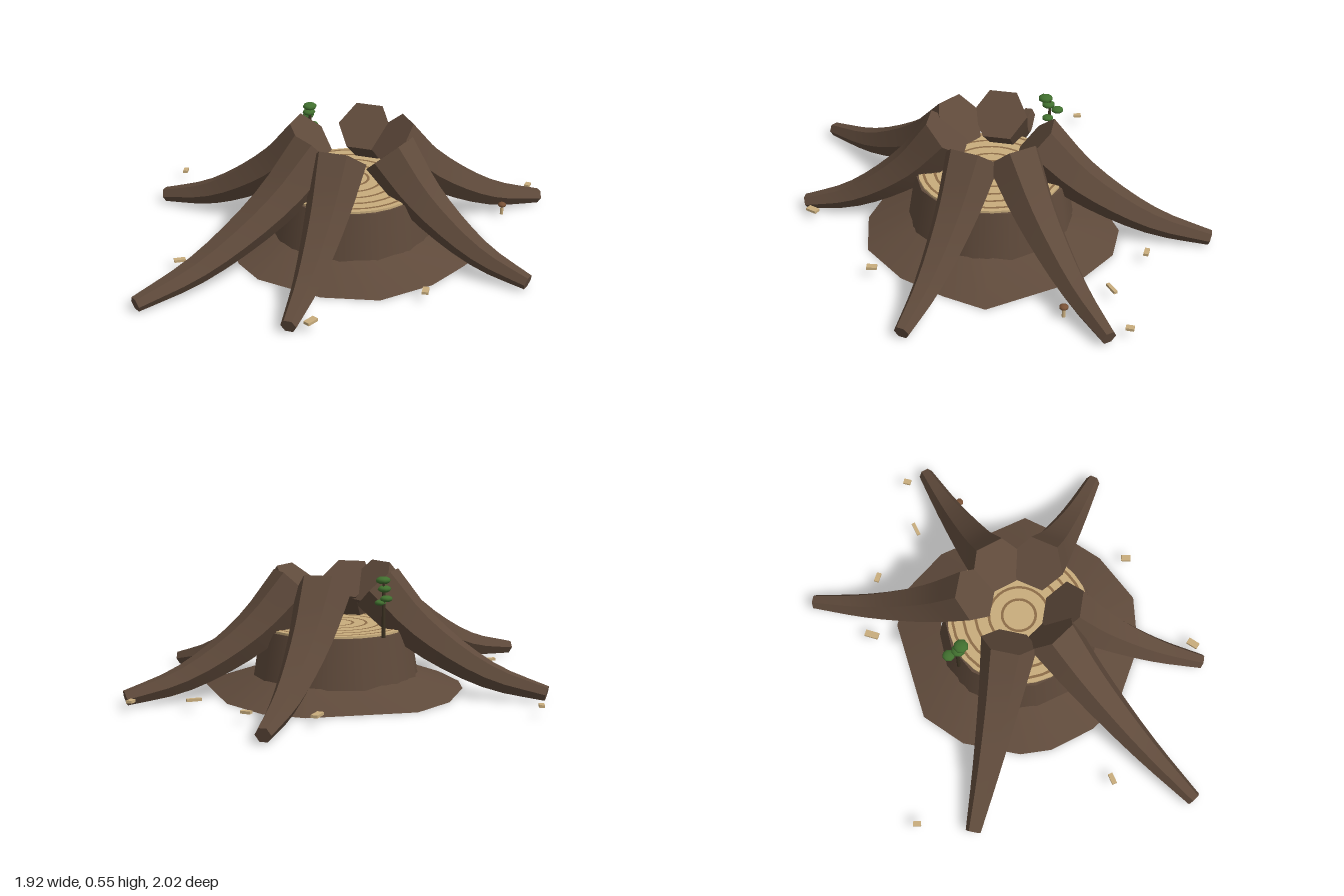
import * as THREE from 'three';
import { toCreasedNormals } from 'three/addons/utils/BufferGeometryUtils.js';

const CX = 0.065, CZ = -0.05; // stump axis

function material(name, color) {
  const m = new THREE.MeshStandardMaterial({ color });
  m.name = name;
  return m;
}

// Hexagonal tapered root, leaving the stump top at 45 degrees and levelling out at its tip
function rootGeometry(angle, length) {
  const ca = Math.cos(angle), sa = Math.sin(angle);
  const r0 = 0.195, span = length - r0;
  const at = (f, y) => new THREE.Vector3((r0 + span * f) * ca, y, (r0 + span * f) * sa);
  const curve = new THREE.CatmullRomCurve3([
    at(0, 0.465), at(0.22, 0.3), at(0.47, 0.172), at(0.7, 0.09), at(1, 0.036),
  ]);
  const side = new THREE.Vector3(sa, 0, -ca);
  const steps = 10, sides = 6, pos = [], index = [];
  for (let i = 0; i <= steps; i++) {
    const t = i / steps;
    const c = curve.getPointAt(t), d = curve.getTangentAt(t);
    const up = new THREE.Vector3().crossVectors(d, side);
    const r = THREE.MathUtils.lerp(0.125, 0.034, t);
    for (let k = 0; k < sides; k++) {
      const a = k / sides * Math.PI * 2;
      const p = c.clone().addScaledVector(side, r * Math.cos(a)).addScaledVector(up, r * Math.sin(a));
      pos.push(p.x, p.y, p.z);
    }
  }
  for (let i = 0; i < steps; i++) {
    for (let k = 0; k < sides; k++) {
      const a = i * sides + k, b = i * sides + (k + 1) % sides;
      index.push(a, b, b + sides, a, b + sides, a + sides);
    }
  }
  const end = steps * sides;
  for (let k = 1; k < sides - 1; k++) {
    index.push(0, k + 1, k, end, end + k, end + k + 1);
  }
  const g = new THREE.BufferGeometry();
  g.setAttribute('position', new THREE.Float32BufferAttribute(pos, 3));
  g.setIndex(index);
  return toCreasedNormals(g, 0.7);
}

// Low irregular skirt: outline on the ground rising to a circle round the trunk
function skirtGeometry(outline) {
  const n = outline.length, pos = [], index = [];
  for (const [x, z] of outline) {
    const a = Math.atan2(z - CZ, x - CX);
    pos.push(x - CX, 0, z - CZ, 0.37 * Math.cos(a), 0.072, 0.37 * Math.sin(a));
  }
  pos.push(0, 0, 0);
  for (let i = 0; i < n; i++) {
    const a = 2 * i, b = 2 * ((i + 1) % n);
    index.push(a, a + 1, b + 1, a, b + 1, b, 2 * n, a, b);
  }
  const g = new THREE.BufferGeometry();
  g.setAttribute('position', new THREE.Float32BufferAttribute(pos, 3));
  g.setIndex(index);
  return toCreasedNormals(g, 0.6);
}

export function createModel() {
  const bark = material('bark', 0x5f4a3b);
  const wood = material('cut wood', 0xc8ac7c);
  const ringWood = material('growth ring', 0x8c6c48);
  const leaf = material('leaf green', 0x41702f);
  const stemBrown = material('stem brown', 0x3c3222);
  const capBrown = material('mushroom brown', 0x7a5236);

  const model = new THREE.Group();
  model.name = 'treeStump';
  const add = (name, geometry, mat, x, y, z, parent = model) => {
    const mesh = new THREE.Mesh(geometry, mat);
    mesh.name = name;
    mesh.position.set(x, y, z);
    parent.add(mesh);
    return mesh;
  };

  // Ground skirt, clockwise-from-back order in plan
  add('baseSkirt', skirtGeometry([
    [0.06, -0.64], [0.29, -0.575], [0.64, -0.29], [0.635, -0.09], [0.6, 0.13],
    [0.48, 0.36], [0.26, 0.48], [-0.05, 0.51], [-0.2, 0.45], [-0.37, 0.32],
    [-0.45, 0.2], [-0.515, -0.06], [-0.48, -0.28], [-0.13, -0.6],
  ]), bark, CX, 0, CZ);

  // Trunk and sawn top with growth rings
  const trunk = new THREE.CylinderGeometry(0.338, 0.375, 0.23, 14);
  add('trunk', trunk, bark, CX, 0.165, CZ);
  add('cutTop', new THREE.CylinderGeometry(0.325, 0.325, 0.016, 28), wood, CX, 0.282, CZ);
  for (const r of [0.07, 0.13, 0.19, 0.245, 0.295]) {
    const ring = add('growthRing', new THREE.RingGeometry(r, r + 0.012, 32), ringWood, CX, 0.292, CZ);
    ring.rotation.x = -Math.PI / 2;
  }

  // Roots: plan angle in degrees, reach from the stump axis
  for (const [deg, reach] of [
    [-1, 0.888], [-54, 0.965], [-105.6, 0.988], [167, 0.958], [109.7, 1.115], [73.6, 0.865],
  ]) {
    add('root', rootGeometry(THREE.MathUtils.degToRad(deg), reach), bark, CX, 0, CZ);
  }

  // Wood chips: x, z, width, depth, turn
  for (const [x, z, w, d, turn] of [
    [-0.235, -0.675, 0.03, 0.065, 0.15], [0.035, -0.785, 0.045, 0.022, 0.15],
    [0.34, -0.735, 0.065, 0.016, 0.9], [0.55, -0.89, 0.025, 0.035, 0.2],
    [0.635, 0.25, 0.028, 0.045, 0.4], [0.37, 0.71, 0.03, 0.055, -0.15],
    [-0.385, 0.63, 0.05, 0.022, 0.85], [-0.945, -0.075, 0.022, 0.036, 0.5],
  ]) {
    add('woodChip', new THREE.BoxGeometry(w, 0.012, d), wood, x, 0.046, z).rotation.y = turn;
  }

  // Leafy shoot beside the left root
  const shoot = new THREE.Group();
  shoot.name = 'shoot';
  model.add(shoot);
  add('shootStem', new THREE.CylinderGeometry(0.006, 0.009, 0.24, 6), stemBrown, -0.262, 0.4, -0.192, shoot);
  for (const [x, y, z, r] of [
    [-0.25, 0.525, -0.175, 0.033], [-0.262, 0.49, -0.185, 0.03],
    [-0.29, 0.455, -0.218, 0.028], [-0.245, 0.43, -0.19, 0.026],
  ]) {
    add('leaf', new THREE.SphereGeometry(r, 8, 6), leaf, x, y, z, shoot).scale.y = 0.5;
  }

  // Small mushroom at the back right
  const mushroom = new THREE.Group();
  mushroom.name = 'mushroom';
  model.add(mushroom);
  add('mushroomStem', new THREE.CylinderGeometry(0.007, 0.008, 0.05, 6), wood, 0.555, 0.035, -0.605, mushroom);
  add('mushroomCap', new THREE.SphereGeometry(0.02, 8, 6), capBrown, 0.555, 0.06, -0.605, mushroom).scale.y = 0.6;

  return model;
}
